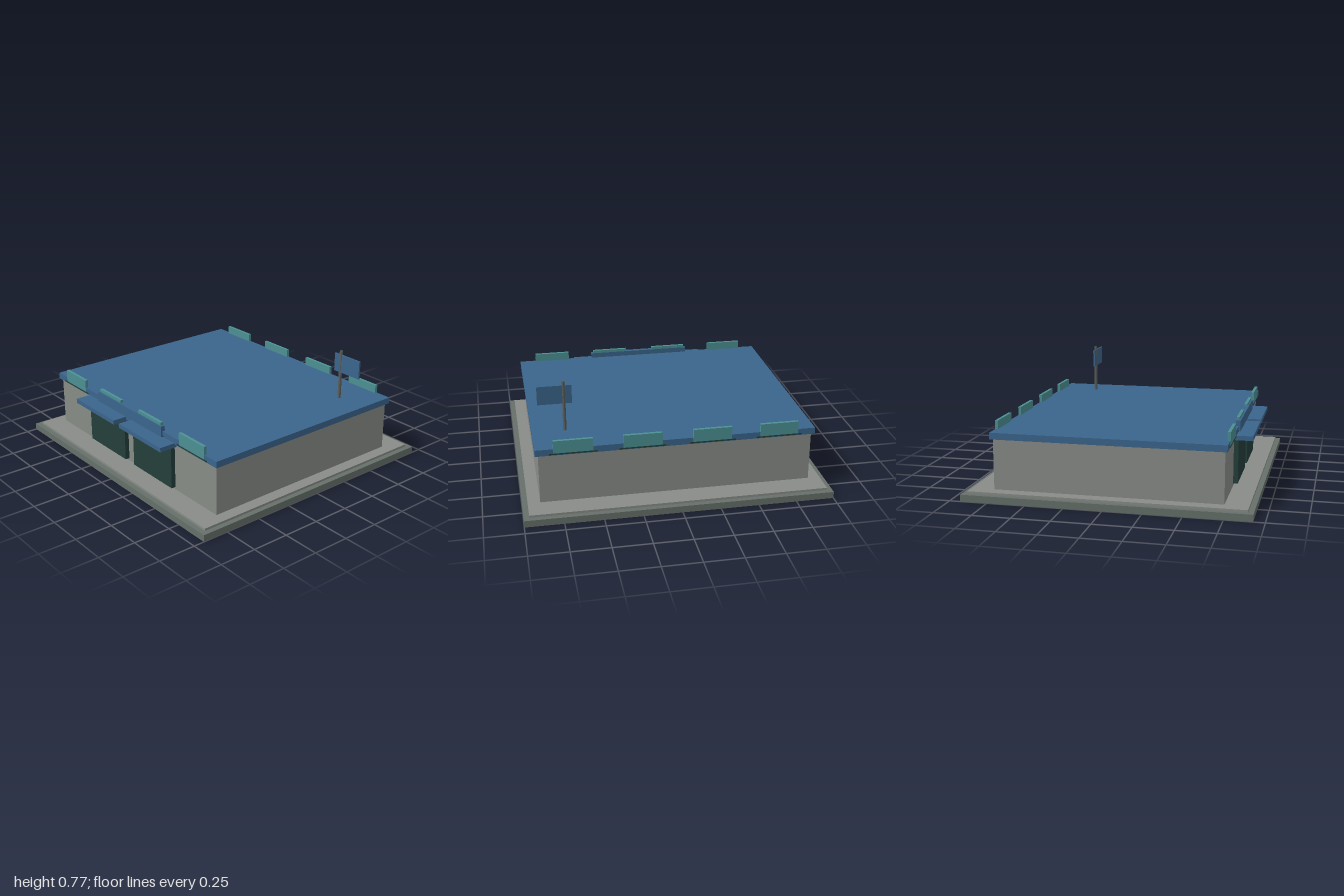
import * as THREE from 'three';

const mat = (color) => new THREE.MeshStandardMaterial({ color, flatShading: true });

export function createModel() {
  const model = new THREE.Group();
  const blue = mat(0x3a658c);
  const teal = mat(0x4c9093);
  const stone = mat(0x888c87);
  const darkStone = mat(0x667069);
  const darkGreen = mat(0x243f3b);
  const metal = mat(0x5c605c);

  // Box given by its extents on each axis
  function box(name, material, [x0, x1], [y0, y1], [z0, z1]) {
    const mesh = new THREE.Mesh(new THREE.BoxGeometry(x1 - x0, y1 - y0, z1 - z0), material);
    mesh.name = name;
    mesh.position.set((x0 + x1) / 2, (y0 + y1) / 2, (z0 + z1) / 2);
    model.add(mesh);
    return mesh;
  }

  // Stepped plinth, walls and overhanging roof slab
  box('plinth', darkStone, [-1, 1], [0, 0.045], [-0.928, 0.928]);
  box('pavement', stone, [-0.965, 0.965], [0.045, 0.06], [-0.893, 0.893]);
  box('walls', stone, [-0.885, 0.885], [0.06, 0.392], [-0.74, 0.74]);
  box('roof', blue, [-0.905, 0.905], [0.392, 0.435], [-0.756, 0.756]);

  // Two bay doors, each under a canopy
  for (const side of [-1, 1]) {
    const x = side * 0.26;
    box('bayDoor', darkGreen, [x - 0.21, x + 0.21], [0.077, 0.375], [0.735, 0.77]);
    box('canopy', blue, [x - 0.23, x + 0.23], [0.369, 0.399], [0.74, 0.865]);
  }

  // Raised fascia above the doors
  box('fascia', blue, [-0.365, 0.365], [0.375, 0.47], [0.738, 0.768]);

  // Parapet panels with a dark sill, along the front and back eaves
  for (const side of [-1, 1]) {
    for (const x of [-0.665, -0.225, 0.225, 0.665]) {
      const panel = box('parapetPanel', teal, [x - 0.125, x + 0.125], [0.405, 0.49], [-0.01, 0.01]);
      panel.position.z = side * 0.749;
      const sill = box('panelSill', darkGreen, [x - 0.15, x + 0.15], [0.397, 0.406], [-0.01, 0.01]);
      sill.position.z = side * 0.75;
    }
  }

  // Flagpole and flag
  const pole = new THREE.Mesh(new THREE.CylinderGeometry(0.011, 0.011, 0.345, 8), metal);
  pole.name = 'flagpole';
  pole.position.set(0.69, 0.6025, -0.49);
  model.add(pole);
  box('flag', blue, [0.638, 0.86], [0.623, 0.747], [-0.496, -0.484]);

  return model;
}
